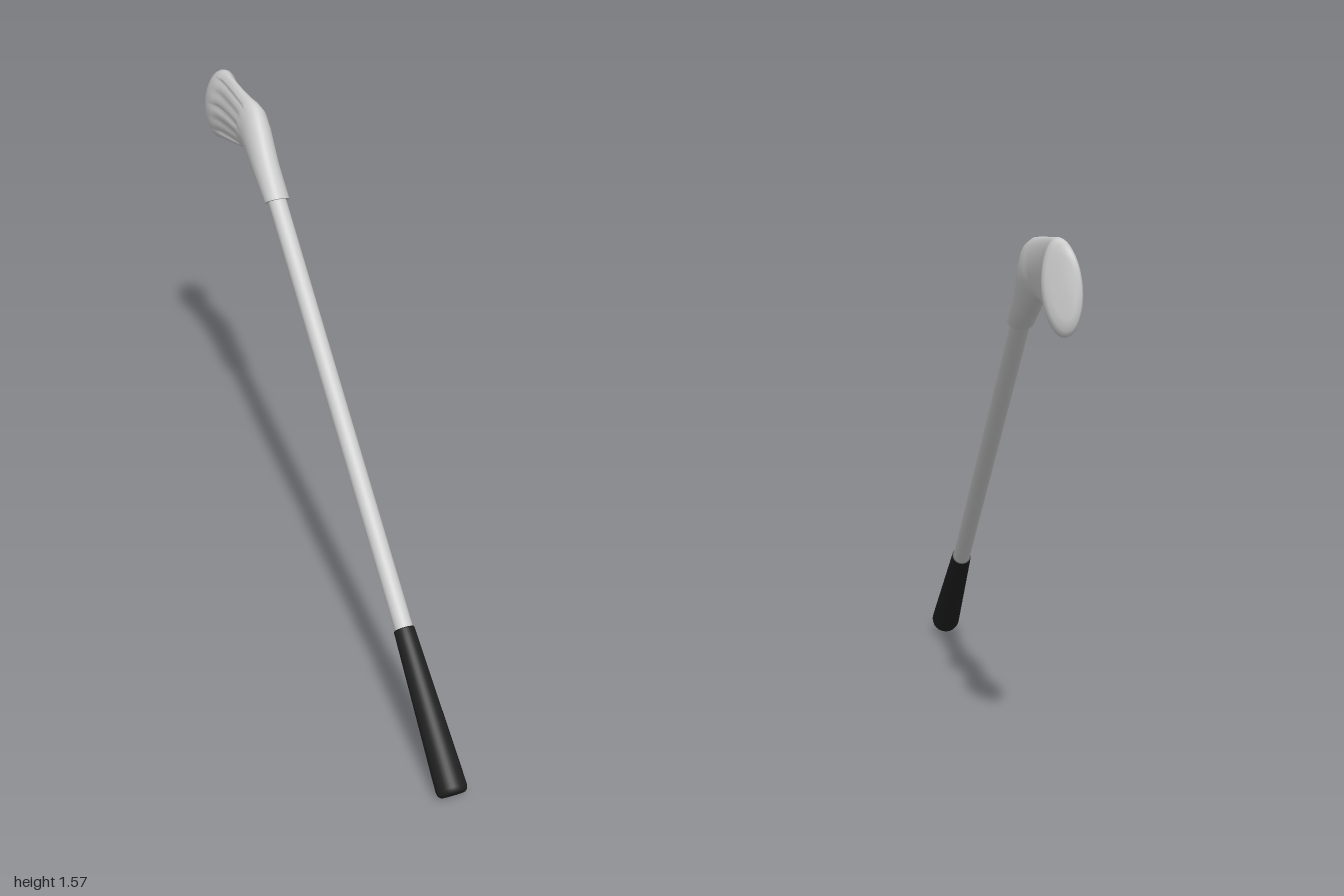
import * as THREE from 'three';

const BUTT = new THREE.Vector3(0.338, 0.043, 0.967);
const NECK = new THREE.Vector3(-0.155, 1.316, -0.472);
const AXIS = NECK.clone().sub(BUTT).normalize();
const LENGTH = BUTT.distanceTo(NECK);

// Turned part lying along the club's axis; profile is [radius, distance from butt]
function turned(name, profile, material) {
  const points = profile.map(([r, d]) => new THREE.Vector2(r, d));
  const mesh = new THREE.Mesh(new THREE.LatheGeometry(points, 32), material);
  mesh.name = name;
  mesh.position.copy(BUTT);
  mesh.quaternion.setFromUnitVectors(new THREE.Vector3(0, 1, 0), AXIS);
  return mesh;
}

// Head sections from hosel to toe:
// top point, bottom point, half thickness, z lean of the thickness direction, groove depth
const SECTIONS = [
  [[-0.148, 1.341, -0.438], [-0.162, 1.291, -0.507], 0.042, 0.33, 0],
  [[-0.180, 1.438, -0.535], [-0.196, 1.335, -0.590], 0.044, 0.35, 0],
  [[-0.204, 1.528, -0.625], [-0.224, 1.380, -0.660], 0.047, 0.37, 0],
  [[-0.215, 1.560, -0.662], [-0.236, 1.396, -0.690], 0.046, 0.37, 0],
  [[-0.230, 1.571, -0.690], [-0.250, 1.397, -0.706], 0.044, 0.37, 0],
  [[-0.242, 1.573, -0.715], [-0.262, 1.391, -0.728], 0.040, 0.37, 0.7],
  [[-0.266, 1.576, -0.770], [-0.285, 1.373, -0.785], 0.036, 0.37, 1],
  [[-0.290, 1.579, -0.835], [-0.309, 1.351, -0.855], 0.034, 0.37, 1],
  [[-0.308, 1.581, -0.885], [-0.327, 1.334, -0.910], 0.037, 0.3, 1],
  [[-0.316, 1.583, -0.905], [-0.335, 1.326, -0.935], 0.047, 0.15, 0.3],
  [[-0.322, 1.582, -0.925], [-0.342, 1.317, -0.958], 0.055, 0, 0],
  [[-0.327, 1.576, -0.942], [-0.348, 1.320, -0.978], 0.057, -0.15, 0],
  [[-0.331, 1.563, -0.952], [-0.352, 1.338, -0.992], 0.051, -0.25, 0],
  [[-0.334, 1.535, -0.959], [-0.353, 1.368, -0.990], 0.036, -0.3, 0],
];

function clubHead(material) {
  const N = 72;
  const positions = [];
  const index = [];
  const ring = ([top, bottom, half, lean, groove]) => {
    const t = new THREE.Vector3(...top), b = new THREE.Vector3(...bottom);
    const mid = t.clone().add(b).multiplyScalar(0.5);
    const up = t.sub(b).multiplyScalar(0.5);
    const side = new THREE.Vector3(-1, 0, lean).normalize();
    for (let j = 0; j < N; j++) {
      const a = (j / N) * Math.PI * 2;
      const v = Math.cos(a);
      let w = Math.sin(a) * half;
      // Recessed face with four rounded ribs
      if (w > 0 && Math.abs(v) < 0.78) {
        const rib = Math.abs(Math.sin((v / 0.78 + 1) * 2 * Math.PI));
        w -= groove * (0.011 - 0.009 * Math.sqrt(rib));
      }
      positions.push(...mid.clone().addScaledVector(up, v).addScaledVector(side, w).toArray());
    }
    return mid;
  };

  // Skin between neighbouring sections
  let mid;
  for (const section of SECTIONS) mid = ring(section);
  for (let i = 0; i < SECTIONS.length - 1; i++) {
    for (let j = 0; j < N; j++) {
      const a = i * N + j, b = i * N + (j + 1) % N;
      index.push(a, a + N, b, b, a + N, b + N);
    }
  }

  // Rounded toe end
  const last = (SECTIONS.length - 1) * N;
  const toe = positions.length / 3;
  positions.push(mid.x - 0.002, mid.y, mid.z - 0.004);
  for (let j = 0; j < N; j++) index.push(toe, last + (j + 1) % N, last + j);

  // Flat hosel end with its own ring for a sharp edge
  const start = positions.length / 3;
  const base = ring(SECTIONS[0]);
  const center = positions.length / 3;
  positions.push(...base.toArray());
  for (let j = 0; j < N; j++) index.push(center, start + j, start + (j + 1) % N);

  const geometry = new THREE.BufferGeometry();
  geometry.setAttribute('position', new THREE.Float32BufferAttribute(positions, 3));
  geometry.setIndex(index);
  geometry.computeVertexNormals();
  const mesh = new THREE.Mesh(geometry, material);
  mesh.name = 'clubHead';
  return mesh;
}

export function createModel() {
  const group = new THREE.Group();
  group.name = 'golfClub';
  const metal = new THREE.MeshStandardMaterial({ color: 0xcccccc });
  const rubber = new THREE.MeshStandardMaterial({ color: 0x202020 });

  // Tapered grip with softened butt
  group.add(turned('grip', [
    [0, -0.004], [0.038, -0.003], [0.046, 0.004], [0.049, 0.016],
    [0.048, 0.06], [0.034, 0.49], [0.033, 0.518], [0.031, 0.522], [0, 0.522],
  ], rubber));

  // Straight shaft running into the hosel
  group.add(turned('shaft', [[0.029, 0.5], [0.030, LENGTH + 0.03]], metal));

  group.add(clubHead(metal));
  return group;
}
